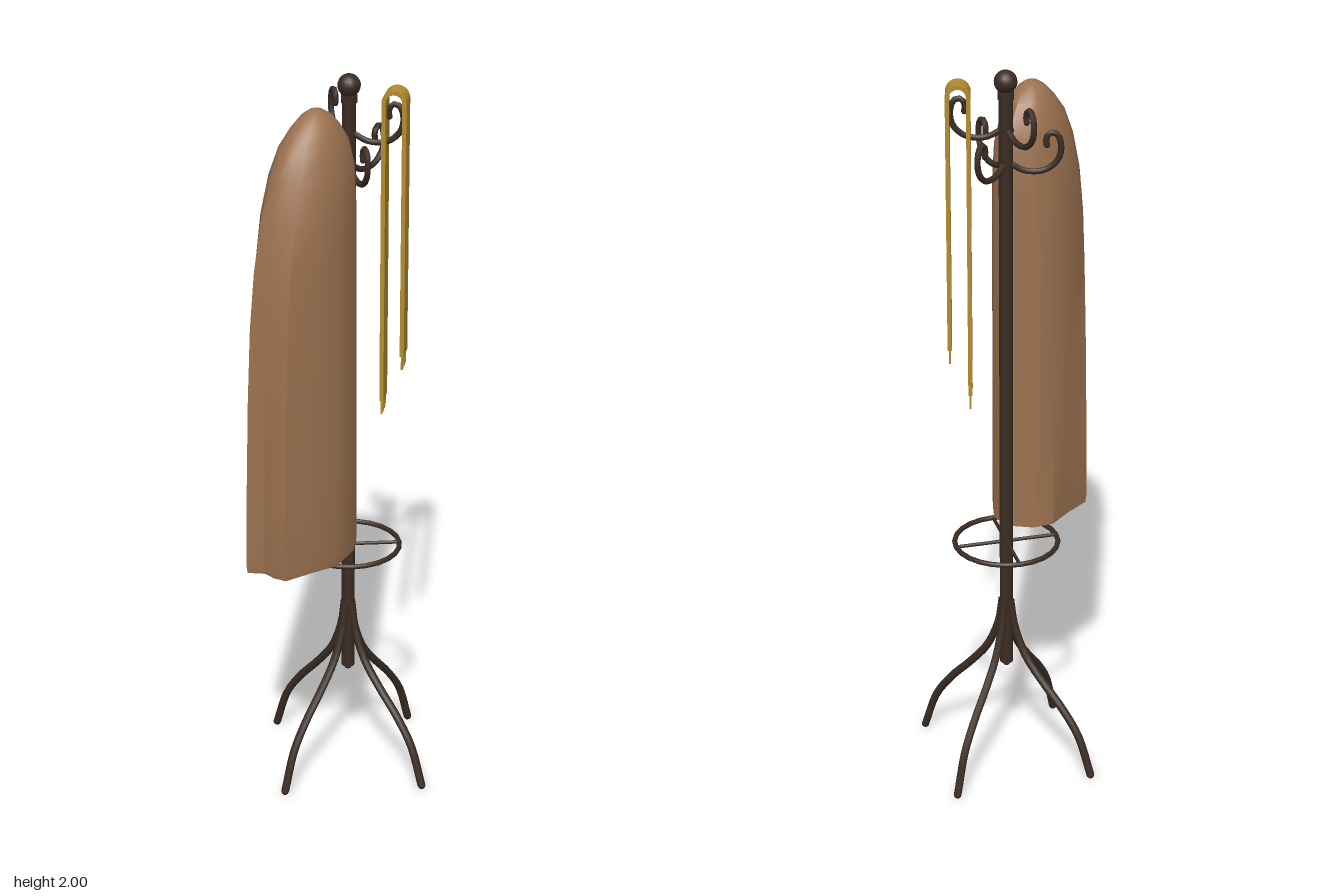
import * as THREE from 'three';
import { toCreasedNormals } from 'three/addons/utils/BufferGeometryUtils.js';

const POLE_X = 0.042;
const darkMetal = new THREE.MeshStandardMaterial({ color: 0x3a2c22 });
darkMetal.name = 'dark metal';
const coatBrown = new THREE.MeshStandardMaterial({ color: 0x9c7250 });
coatBrown.name = 'coat brown';
const scarfGold = new THREE.MeshStandardMaterial({ color: 0xb48c2f });
scarfGold.name = 'scarf gold';

function add(parent, name, geometry, material, x = 0, y = 0, z = 0) {
  const mesh = new THREE.Mesh(geometry, material);
  mesh.name = name;
  mesh.position.set(x, y, z);
  parent.add(mesh);
  return mesh;
}

// Bent rod through [radius, height] points, turned to an angle about the pole
function bentRod(parent, name, points, radius, angle, lift = 0) {
  const rod = new THREE.Group();
  rod.name = name;
  rod.rotation.y = -angle;
  rod.position.y = lift;
  const path = points.map(([r, y]) => new THREE.Vector3(r, y, 0));
  add(rod, name + 'Tube', new THREE.TubeGeometry(new THREE.CatmullRomCurve3(path), 20, radius, 8), darkMetal);
  const [r, y] = points[points.length - 1];
  add(rod, name + 'Tip', new THREE.SphereGeometry(radius, 8, 6), darkMetal, r, y);
  parent.add(rod);
}

function buildStand() {
  const stand = new THREE.Group();
  stand.name = 'stand';
  stand.position.x = POLE_X;
  add(stand, 'pole', new THREE.CylinderGeometry(0.018, 0.018, 1.64, 16), darkMetal, 0, 1.12);
  add(stand, 'poleFoot', new THREE.CylinderGeometry(0.018, 0.009, 0.06, 16), darkMetal, 0, 0.32);
  add(stand, 'collar', new THREE.CylinderGeometry(0.021, 0.021, 0.02, 16), darkMetal, 0, 1.935);
  add(stand, 'knob', new THREE.SphereGeometry(0.03, 16, 12), darkMetal, 0, 1.97);

  // Four splayed legs
  const leg = [[0.012, 0.5], [0.025, 0.42], [0.06, 0.335], [0.115, 0.265], [0.175, 0.2], [0.228, 0.125], [0.268, 0.012]];
  for (let i = 0; i < 4; i++) bentRod(stand, 'leg', leg, 0.011, i * Math.PI / 2);

  // Umbrella ring with four spokes
  const ring = add(stand, 'umbrellaRing', new THREE.TorusGeometry(0.14, 0.007, 8, 24), darkMetal, 0, 0.675);
  ring.rotation.x = Math.PI / 2;
  for (let i = 0; i < 2; i++) {
    const spoke = add(stand, 'ringSpoke', new THREE.CylinderGeometry(0.005, 0.005, 0.28, 8), darkMetal, 0, 0.675);
    spoke.rotation.set(0, Math.PI / 4 + i * Math.PI / 2, Math.PI / 2);
  }

  // Six hooks, alternating between two heights
  const hook = [[0.01, 1.755], [0.05, 1.735], [0.1, 1.738], [0.132, 1.765], [0.14, 1.8], [0.13, 1.832],
    [0.112, 1.836], [0.102, 1.82], [0.104, 1.803]];
  for (let i = 0; i < 6; i++) bentRod(stand, 'hook', hook, 0.008, i * Math.PI / 3, (i % 2) * 0.09);
  return stand;
}

function buildCoat() {
  // Pleated hem outline (x, z) over its own bounding ellipse
  const hem = [[-0.325, -0.04], [-0.26, -0.075], [-0.2, -0.115], [-0.12, -0.104], [-0.04, -0.1], [0.005, -0.065],
    [0.03, 0], [0.005, 0.06], [-0.04, 0.09], [-0.14, 0.115], [-0.215, 0.092], [-0.295, 0.07], [-0.303, 0.035], [-0.298, 0]];
  const unit = hem.map(([x, z]) => [(x + 0.1475) / 0.1775, z / 0.115]);
  // Height, leftmost x, rightmost x, half depth, pleat amount
  const sections = [
    [0.715, -0.322, 0.03, 0.113, 1], [0.735, -0.325, 0.03, 0.115, 1], [0.95, -0.321, 0.03, 0.114, 0.95],
    [1.2, -0.314, 0.03, 0.112, 0.8], [1.4, -0.305, 0.03, 0.11, 0.6], [1.55, -0.29, 0.03, 0.107, 0.4],
    [1.68, -0.265, 0.03, 0.102, 0.2], [1.78, -0.234, 0.028, 0.091, 0.05], [1.85, -0.202, 0.012, 0.073, 0],
    [1.895, -0.162, -0.018, 0.053, 0], [1.923, -0.13, -0.045, 0.034, 0], [1.936, -0.108, -0.068, 0.016, 0]];
  const n = unit.length, positions = [], index = [];
  for (const [y, x0, x1, depth, pleat] of sections) {
    for (const [u, v] of unit) {
      const k = THREE.MathUtils.lerp(1 / Math.hypot(u, v), 1, pleat);
      positions.push((x0 + x1) / 2 + u * k * (x1 - x0) / 2, y, v * k * depth);
    }
  }
  const bottom = sections.length * n, top = bottom + 1, last = bottom - n;
  positions.push(-0.14, 0.72, 0, -0.088, 1.94, 0);
  for (let i = 0; i < n; i++) {
    const j = (i + 1) % n;
    for (let r = 0; r < last; r += n) index.push(r + i, r + n + i, r + j, r + j, r + n + i, r + n + j);
    index.push(bottom, i, j, top, last + j, last + i);
  }
  const geometry = new THREE.BufferGeometry();
  geometry.setAttribute('position', new THREE.Float32BufferAttribute(positions, 3));
  geometry.setIndex(index);
  const group = new THREE.Group();
  group.name = 'hangingCoat';
  add(group, 'coat', toCreasedNormals(geometry, 0.6), coatBrown);
  return group;
}

function buildScarf() {
  const scarf = new THREE.Group();
  scarf.name = 'scarf';
  scarf.position.x = POLE_X;
  scarf.rotation.y = -Math.PI / 3;
  const mid = 0.12, outer = 0.032, inner = 0.021, arch = 1.937, width = 0.06;
  const frontEnd = 1.25, backEnd = 1.12;

  // Strip folded over the hook
  const shape = new THREE.Shape();
  shape.moveTo(mid + outer, frontEnd);
  shape.lineTo(mid + outer, arch);
  shape.absarc(mid, arch, outer, 0, Math.PI, false);
  shape.lineTo(mid - outer, backEnd);
  shape.lineTo(mid - inner, backEnd);
  shape.lineTo(mid - inner, arch);
  shape.absarc(mid, arch, inner, Math.PI, 0, true);
  shape.lineTo(mid + inner, frontEnd);
  shape.closePath();
  const strip = new THREE.ExtrudeGeometry(shape, { depth: width, bevelEnabled: false, curveSegments: 8 });
  add(scarf, 'scarfStrip', toCreasedNormals(strip, 0.6), scarfGold, 0, 0, -width / 2);

  // Fringe on both ends
  const middle = (outer + inner) / 2;
  for (const [r, y] of [[mid + middle, frontEnd], [mid - middle, backEnd]]) {
    for (let i = -2; i <= 2; i++) {
      add(scarf, 'fringe', new THREE.BoxGeometry(0.005, 0.04, 0.005), scarfGold, r, y - 0.018, i * 0.0125);
    }
  }
  return scarf;
}

export function createModel() {
  const model = new THREE.Group();
  model.name = 'coatStand';
  model.add(buildStand(), buildCoat(), buildScarf());
  return model;
}
